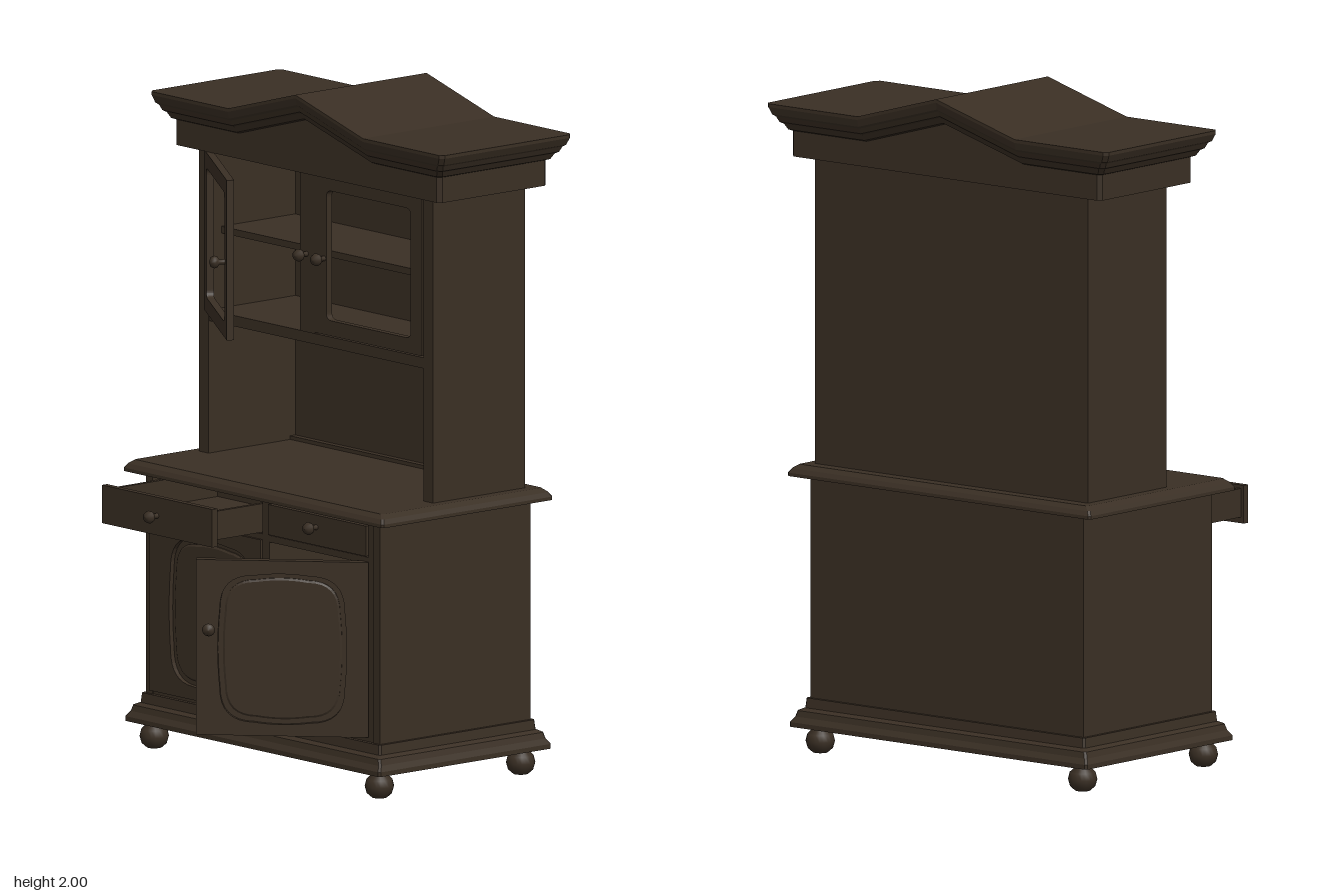
import * as THREE from 'three';

const wood = new THREE.MeshStandardMaterial({ color: 0x3a2f24 });
wood.name = 'darkWood';

function add(parent, name, geometry, x = 0, y = 0, z = 0) {
  const mesh = new THREE.Mesh(geometry, wood);
  mesh.name = name;
  mesh.position.set(x, y, z);
  parent.add(mesh);
  return mesh;
}

// Box given by its limits on each axis
function panel(parent, name, [x0, x1], [y0, y1], [z0, z1]) {
  return add(parent, name, new THREE.BoxGeometry(x1 - x0, y1 - y0, z1 - z0),
    (x0 + x1) / 2, (y0 + y1) / 2, (z0 + z1) / 2);
}

// Moulded slab: rectangular rings [halfWidth, halfDepth, y, gable], lowest first.
// The gable value lifts the middle of a ring into a low peak.
function moulding(profile, chamfer) {
  const rings = profile.map(([w, d, y, gable = 0]) => {
    const xs = [-w, chamfer - w, -0.3, 0, 0.3, w - chamfer, w];
    const row = (side) => xs.map((x, i) => [
      x,
      y + gable * Math.max(0, 1 - Math.abs(x) / 0.3),
      side * (i === 0 || i === 6 ? d - chamfer : d),
    ]);
    return [...row(1), ...row(-1).reverse()];
  });
  const pos = [];
  const quad = (a, b, c, d) => pos.push(...a, ...b, ...c, ...a, ...c, ...d);
  for (let k = 0; k + 1 < rings.length; k++) {
    for (let i = 0; i < 14; i++) {
      const j = (i + 1) % 14;
      quad(rings[k][i], rings[k][j], rings[k + 1][j], rings[k + 1][i]);
    }
  }
  const low = rings[0], top = rings[rings.length - 1];
  for (let i = 0; i < 6; i++) {
    quad(top[i], top[i + 1], top[12 - i], top[13 - i]);
    quad(low[13 - i], low[12 - i], low[i + 1], low[i]);
  }
  const g = new THREE.BufferGeometry();
  g.setAttribute('position', new THREE.Float32BufferAttribute(pos, 3));
  g.computeVertexNormals();
  return g;
}

// Rounded rectangle, with sides that may bow outwards
function roundedOutline(path, x0, x1, y0, y1, r, bow = 0) {
  const mx = (x0 + x1) / 2, my = (y0 + y1) / 2;
  path.moveTo(x0 + r, y0);
  path.quadraticCurveTo(mx, y0 - bow, x1 - r, y0);
  path.quadraticCurveTo(x1, y0, x1, y0 + r);
  path.quadraticCurveTo(x1 + bow, my, x1, y1 - r);
  path.quadraticCurveTo(x1, y1, x1 - r, y1);
  path.quadraticCurveTo(mx, y1 + bow, x0 + r, y1);
  path.quadraticCurveTo(x0, y1, x0, y1 - r);
  path.quadraticCurveTo(x0 - bow, my, x0, y0 + r);
  path.quadraticCurveTo(x0, y0, x0 + r, y0);
  return path;
}

function knob(parent, x, y, z) {
  const profile = [[0.008, 0], [0.007, 0.016], [0.016, 0.022], [0.019, 0.031], [0.014, 0.042], [0, 0.046]];
  const g = new THREE.LatheGeometry(profile.map(([r, h]) => new THREE.Vector2(r, h)), 16);
  g.rotateX(Math.PI / 2);
  add(parent, 'knob', g, x, y, z);
}

// Door hung on the origin; dir is +1 or -1, the way it runs from its hinge
function door(name, { w, h, dir, margins, radius, bow, filled, thick }) {
  const group = new THREE.Group();
  group.name = name;
  const [hingeSide, tipSide, bottom, top] = margins;
  const a = dir * hingeSide, b = dir * (w - tipSide);
  const opening = [Math.min(a, b), Math.max(a, b), bottom, h - top];
  const left = Math.min(0, dir * w), right = Math.max(0, dir * w);
  const outline = new THREE.Shape();
  outline.moveTo(left, 0).lineTo(right, 0).lineTo(right, h).lineTo(left, h).closePath();
  outline.holes.push(roundedOutline(new THREE.Path(), ...opening, radius, bow));
  add(group, 'doorFrame', new THREE.ExtrudeGeometry(outline, { depth: thick, bevelEnabled: false, curveSegments: 8 }));
  if (filled) {
    panel(group, 'doorPanel', [opening[0] - 0.02, opening[1] + 0.02],
      [opening[2] - 0.02, opening[3] + 0.02], [0.008, thick - 0.014]);
    // Raised field inside the groove
    const s = 0.014;
    const field = roundedOutline(new THREE.Shape(), opening[0] + s, opening[1] - s,
      opening[2] + s, opening[3] - s, radius - s / 2, bow);
    add(group, 'raisedField', new THREE.ExtrudeGeometry(field, {
      depth: 0.004, bevelThickness: 0.004, bevelSize: 0.006, bevelOffset: -0.006, bevelSegments: 1, curveSegments: 8,
    }), 0, 0, thick - 0.014);
  }
  knob(group, dir * (w - 0.04), h * (filled ? 0.61 : 0.475), thick);
  return group;
}

export function createModel() {
  const model = new THREE.Group();
  model.name = 'cabinet';
  const CZ = -0.155;

  // Feet
  const footProfile = [[0, 0], [0.022, 0.004], [0.037, 0.017], [0.043, 0.038], [0.038, 0.058], [0.026, 0.07], [0.026, 0.085]];
  const footGeometry = new THREE.LatheGeometry(footProfile.map(([r, y]) => new THREE.Vector2(r, y)), 20);
  for (const x of [-0.5, 0.5]) for (const z of [0.12, -0.425]) add(model, 'foot', footGeometry, x, 0, z);

  // Plinth and worktop
  add(model, 'plinth', moulding([
    [0.567, 0.333, 0.08], [0.567, 0.333, 0.094], [0.556, 0.322, 0.11], [0.55, 0.318, 0.128],
    [0.534, 0.303, 0.136], [0.531, 0.3, 0.165],
  ], 0.006), 0, 0, CZ);
  add(model, 'worktop', moulding([
    [0.545, 0.305, 0.815], [0.577, 0.33, 0.82], [0.577, 0.33, 0.83], [0.568, 0.322, 0.843], [0.55, 0.308, 0.855],
  ], 0.006), 0, 0, CZ);

  // Lower cupboard carcass
  const lower = new THREE.Group();
  lower.name = 'lowerCupboard';
  model.add(lower);
  const Y = [0.16, 0.82];
  for (const s of [-1, 1]) panel(lower, 'side', s < 0 ? [-0.52, -0.49] : [0.49, 0.52], Y, [-0.445, 0.135]);
  panel(lower, 'back', [-0.49, 0.49], Y, [-0.445, -0.425]);
  panel(lower, 'divider', [-0.005, 0.025], Y, [-0.425, 0.132]);
  panel(lower, 'drawerShelf', [-0.49, 0.49], [0.692, 0.712], [-0.425, 0.132]);
  panel(lower, 'topRail', [-0.49, 0.49], [0.808, 0.82], [0.1, 0.132]);
  panel(lower, 'bottomRail', [-0.49, 0.49], [0.16, 0.178], [0.1, 0.132]);
  panel(lower, 'rightStile', [0.465, 0.49], Y, [0.1, 0.132]);

  // Lower doors, one shut and one ajar
  const lowerDoor = { w: 0.495, h: 0.52, margins: [0.095, 0.04, 0.04, 0.045], radius: 0.1, bow: 0.012, filled: true, thick: 0.03 };
  const shutDoor = door('closedLowerDoor', { ...lowerDoor, dir: 1 });
  shutDoor.position.set(-0.5, 0.175, 0.11);
  const ajarDoor = door('openLowerDoor', { ...lowerDoor, w: 0.505, margins: [0.07, 0.07, 0.04, 0.045], dir: -1 });
  ajarDoor.position.set(0.45, 0.178, 0.115);
  ajarDoor.rotation.y = 0.76;
  model.add(shutDoor, ajarDoor);

  // Pulled-out drawer
  const drawer = new THREE.Group();
  drawer.name = 'openDrawer';
  model.add(drawer);
  panel(drawer, 'drawerFront', [-0.5, -0.01], [0.695, 0.808], [0.302, 0.322]);
  panel(drawer, 'drawerFloor', [-0.485, -0.025], [0.714, 0.722], [-0.12, 0.302]);
  panel(drawer, 'drawerBack', [-0.485, -0.025], [0.714, 0.798], [-0.12, -0.105]);
  for (const x of [-0.49, -0.033]) panel(drawer, 'drawerSide', [x, x + 0.013], [0.713, 0.798], [-0.12, 0.302]);
  knob(drawer, -0.255, 0.753, 0.322);

  // Shut drawer
  panel(model, 'closedDrawer', [0.03, 0.465], [0.716, 0.806], [-0.12, 0.142]);
  knob(model, 0.245, 0.77, 0.142);

  // Upper cupboard carcass above an open niche
  const upper = new THREE.Group();
  upper.name = 'upperCupboard';
  model.add(upper);
  for (const s of [-1, 1]) panel(upper, 'side', s < 0 ? [-0.52, -0.478] : [0.478, 0.52], [0.85, 1.77], [-0.425, -0.07]);
  panel(upper, 'back', [-0.478, 0.478], [0.85, 1.77], [-0.425, -0.405]);
  panel(upper, 'nicheSill', [-0.478, 0.478], [0.85, 0.866], [-0.405, -0.385]);
  panel(upper, 'floor', [-0.478, 0.478], [1.248, 1.28], [-0.405, -0.072]);
  panel(upper, 'shelf', [-0.478, 0.478], [1.502, 1.522], [-0.405, -0.12]);
  panel(upper, 'centreStile', [-0.07, -0.003], [1.28, 1.77], [-0.1, -0.068]);
  knob(upper, -0.04, 1.512, -0.068);

  // Upper doors with open windows
  const upperDoor = { w: 0.475, h: 0.475, radius: 0.022, bow: 0, filled: false, thick: 0.022 };
  const shutWindow = door('closedUpperDoor', { ...upperDoor, dir: -1, margins: [0.05, 0.05, 0.045, 0.045] });
  shutWindow.position.set(0.475, 1.285, -0.088);
  const ajarWindow = door('openUpperDoor', { ...upperDoor, dir: 1, margins: [0.05, 0.05, 0.045, 0.045] });
  ajarWindow.position.set(-0.465, 1.285, -0.07);
  ajarWindow.rotation.y = -0.575;
  model.add(shutWindow, ajarWindow);

  // Frieze and peaked cornice
  add(model, 'cornice', moulding([
    [0.59, 0.21, 1.76, 0], [0.59, 0.21, 1.836, 0.085], [0.602, 0.22, 1.84, 0.085], [0.612, 0.228, 1.857, 0.085],
    [0.622, 0.236, 1.862, 0.085], [0.63, 0.242, 1.878, 0.085], [0.64, 0.248, 1.884, 0.085],
    [0.65, 0.253, 1.905, 0.085], [0.65, 0.253, 1.915, 0.085],
  ], 0.012), 0, 0, -0.243);

  return model;
}
